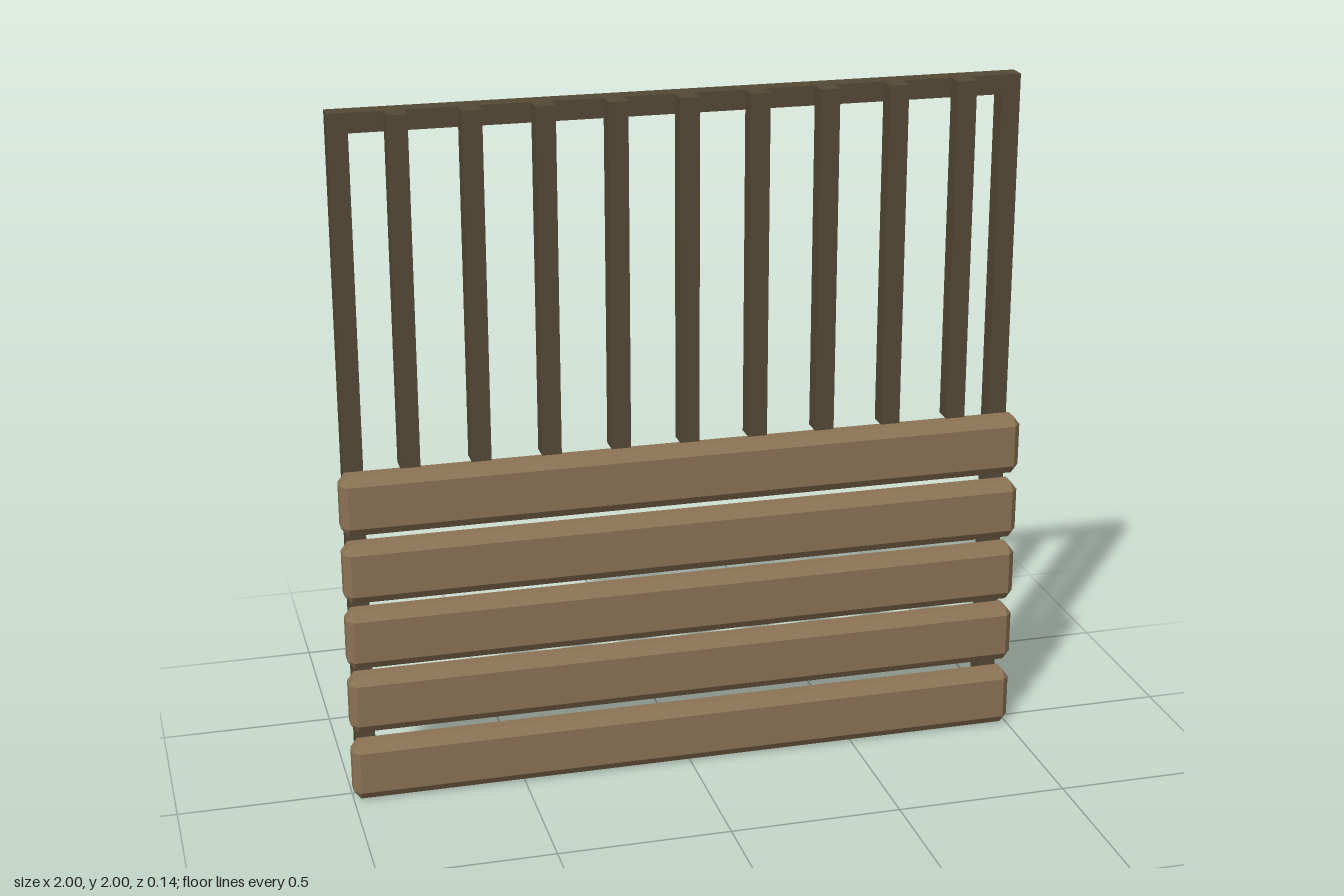
import * as THREE from 'three';
import { ConvexGeometry } from 'three/addons/geometries/ConvexGeometry.js';

const plankWood = new THREE.MeshStandardMaterial({ color: 0x8b7355, flatShading: true });
const darkWood = new THREE.MeshStandardMaterial({ color: 0x544936, flatShading: true });

// Box with all edges and corners cut off by the insets bx, by, bz
function chamferedBox(w, h, d, bx, by, bz) {
  const points = [];
  for (const sx of [-1, 1]) for (const sy of [-1, 1]) for (const sz of [-1, 1]) {
    const x = sx * w / 2, y = sy * h / 2, z = sz * d / 2;
    const ix = x - sx * bx, iy = y - sy * by, iz = z - sz * bz;
    points.push(
      new THREE.Vector3(x, iy, iz),
      new THREE.Vector3(ix, y, iz),
      new THREE.Vector3(ix, iy, z));
  }
  return new ConvexGeometry(points);
}

export function createModel() {
  const group = new THREE.Group();
  const add = (name, geometry, material, x, y, z) => {
    const mesh = new THREE.Mesh(geometry, material);
    mesh.name = name;
    mesh.position.set(x, y, z);
    group.add(mesh);
  };

  const T = 0.056;                   // thickness of the square timbers
  const backZ = -0.012 - T / 2;      // plane of the frame
  const barZ = -0.012 + T / 2;       // plane of the bars

  // Frame: two posts and a top rail between them
  const post = new THREE.BoxGeometry(T, 2, T);
  add('leftPost', post, darkWood, 0.98 - T / 2, 1, backZ);
  add('rightPost', post, darkWood, -0.98 + T / 2, 1, backZ);
  add('topRail', new THREE.BoxGeometry(2 * (0.98 - T), T, T), darkWood, 0, 2 - T / 2, backZ);

  // Upright bars in front of the rail
  const bar = new THREE.BoxGeometry(T, 0.995, T);
  for (let i = -4; i <= 4; i++) add(`bar${i + 5}`, bar, darkWood, i * 0.2, 1.5025, barZ);

  // Chamfered planks across the lower half
  const plank = chamferedBox(2, 0.176, 0.08, 0.02, 0.026, 0.021);
  [0.092, 0.303, 0.502, 0.703, 0.907].forEach((y, i) =>
    add(`plank${i + 1}`, plank, plankWood, 0, y, 0.028));

  return group;
}
